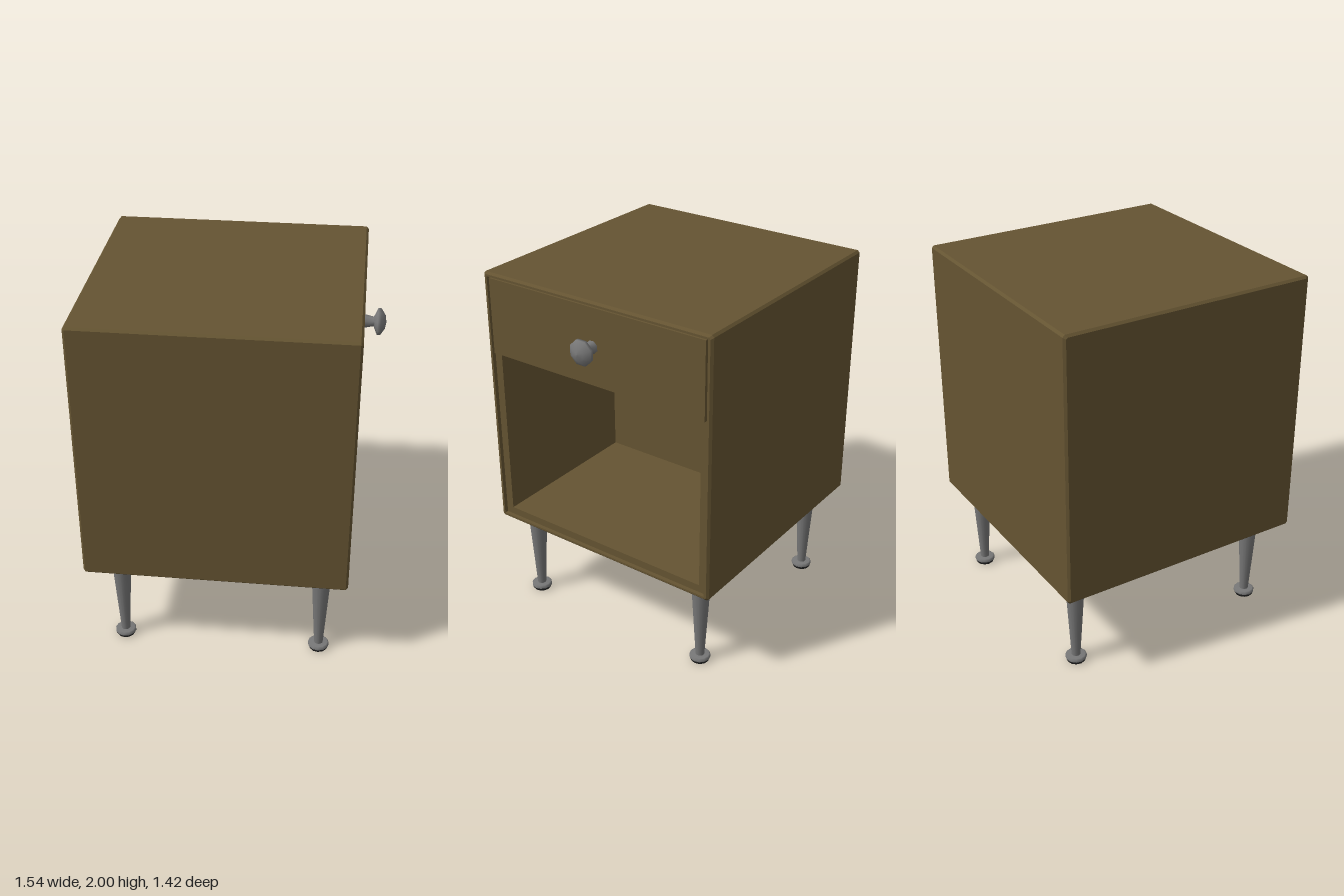
import * as THREE from 'three';

const wood = new THREE.MeshStandardMaterial({ color: 0x655432, flatShading: true });
const metal = new THREE.MeshStandardMaterial({ color: 0x777777 });
const rubber = new THREE.MeshStandardMaterial({ color: 0x2c2c2c });

// Rectangle in the y-z plane with chamfered corners, counterclockwise seen from +x
function loop([x, z, y0, y1, c]) {
  return [
    [z, y0 + c], [z, y1 - c], [z - c, y1], [-z + c, y1],
    [-z, y1 - c], [-z, y0 + c], [-z + c, y0], [z - c, y0],
  ].map(([u, y]) => [x, y, -u]);
}

// Skin over a row of loops
function loft(sections) {
  const loops = sections.map(loop);
  const n = loops[0].length;
  const index = [];
  for (let i = 0; i < loops.length - 1; i++) {
    for (let j = 0; j < n; j++) {
      const a = i * n + j, b = i * n + (j + 1) % n;
      index.push(a, b, b + n, a, b + n, a + n);
    }
  }
  const g = new THREE.BufferGeometry();
  g.setAttribute('position', new THREE.Float32BufferAttribute(loops.flat(2), 3));
  g.setIndex(index);
  const flat = g.toNonIndexed();
  flat.computeVertexNormals();
  return flat;
}

function lathe(name, points, segments, material, phi = 0) {
  const profile = points.map(([r, y]) => new THREE.Vector2(r, y));
  const mesh = new THREE.Mesh(new THREE.LatheGeometry(profile, segments, phi), material);
  mesh.name = name;
  return mesh;
}

export function createModel() {
  const model = new THREE.Group();
  model.name = 'bedsideCabinet';

  // Cabinet: closed back, bevelled outside, thin rim, set-back frame and open niche
  const cabinet = new THREE.Mesh(loft([
    [-0.77, 0, 1.26, 1.26, 0],
    [-0.77, 0.698, 0.537, 1.988, 0.008],
    [-0.758, 0.71, 0.525, 2, 0.012],
    [0.638, 0.71, 0.525, 2, 0.012],
    [0.65, 0.698, 0.537, 1.988, 0.008],
    [0.65, 0.685, 0.548, 1.977, 0],
    [0.628, 0.685, 0.548, 1.977, 0],
    [0.628, 0.64, 0.59, 1.545, 0],
    [-0.31, 0.64, 0.59, 1.545, 0],
    [-0.31, 0, 1.07, 1.07, 0],
  ]), wood);
  cabinet.name = 'cabinet';
  model.add(cabinet);

  // Drawer front with a narrow gap to the rim
  const drawer = new THREE.Mesh(new THREE.BoxGeometry(0.024, 0.42, 1.344), wood);
  drawer.name = 'drawerFront';
  drawer.position.set(0.636, 1.76, 0);
  model.add(drawer);

  // Eight-sided knob pointing along +x
  const knob = lathe('drawerKnob', [
    [0.036, 0], [0.034, 0.015], [0.025, 0.055], [0.036, 0.06], [0.07, 0.075],
    [0.07, 0.092], [0.035, 0.115], [0, 0.121],
  ], 8, metal, Math.PI / 8);
  knob.rotation.z = -Math.PI / 2;
  knob.position.set(0.645, 1.76, 0);
  model.add(knob);

  // Tapered legs with a foot disc and a dark pad
  for (const x of [-0.59, 0.505]) {
    for (const z of [-0.57, 0.57]) {
      const leg = new THREE.Group();
      leg.name = 'leg';
      leg.add(
        lathe('legShaft', [[0.024, 0.03], [0.054, 0.53]], 16, metal),
        lathe('foot', [[0.058, 0.018], [0.058, 0.03], [0.05, 0.037], [0, 0.037]], 12, metal),
        lathe('footPad', [[0, 0], [0.05, 0], [0.058, 0.018]], 12, rubber),
      );
      leg.position.set(x, 0, z);
      model.add(leg);
    }
  }
  return model;
}
